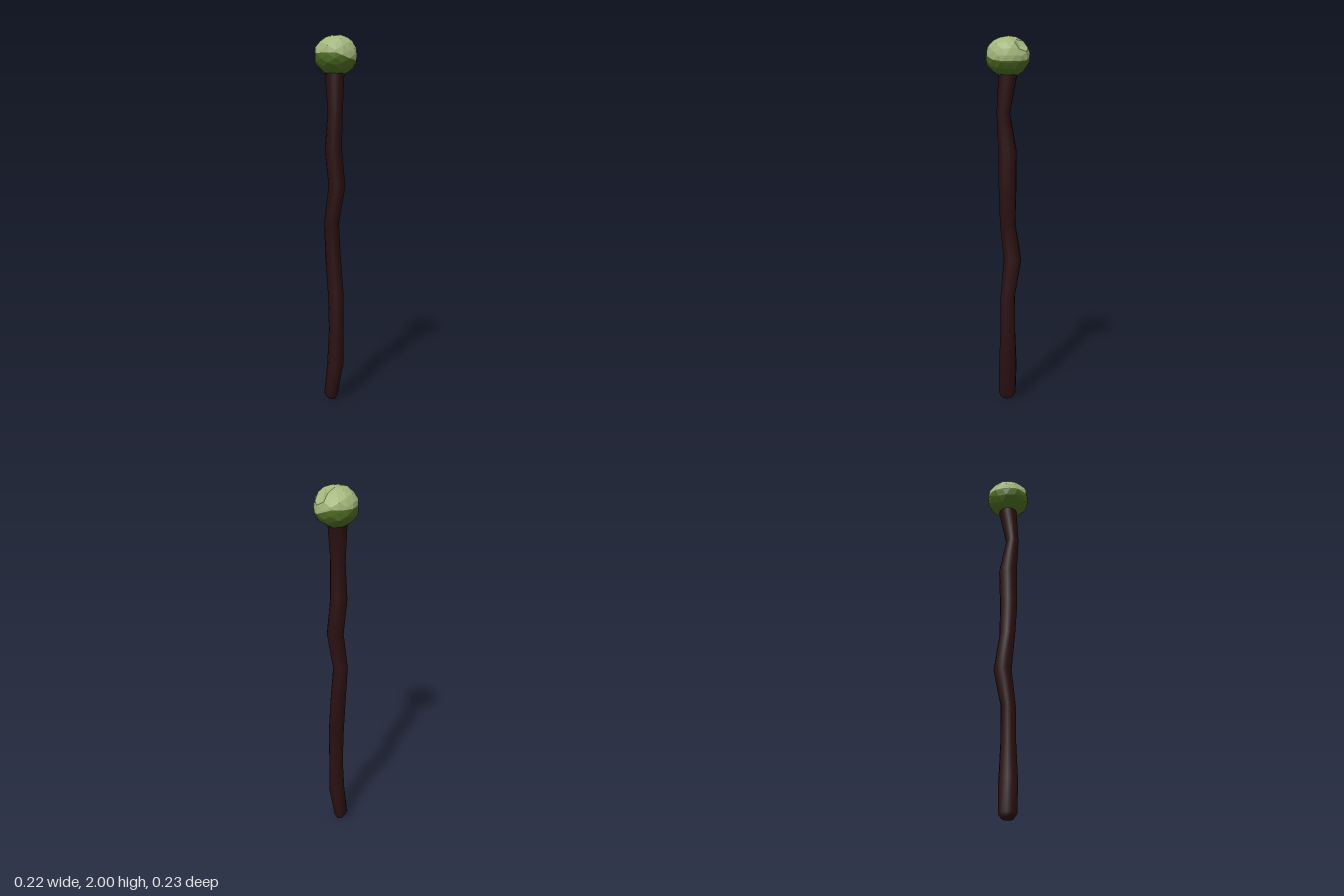
import * as THREE from 'three';

const mat = (name, color, extra = {}) => Object.assign(new THREE.MeshStandardMaterial({ color, ...extra }), { name });

// Crooked shaft: oval rings [y, xMin, xMax, zMin, zMax] joined bottom to top
function shaftGeometry() {
  const rings = [
    [0.008, -0.05, -0.005, -0.032, 0.032], [0.03, -0.066, 0.007, -0.048, 0.048],
    [0.2, -0.05, 0.04, -0.05, 0.05], [0.4, -0.04, 0.04, -0.041, 0.041],
    [0.6, -0.045, 0.041, -0.04, 0.04], [0.8, -0.06, 0.025, -0.077, 0.02],
    [1.0, -0.066, 0.015, -0.045, 0.04], [1.2, -0.041, 0.05, -0.046, 0.05],
    [1.4, -0.061, 0.031, -0.05, 0.05], [1.6, -0.045, 0.036, -0.012, 0.06],
    [1.79, -0.058, 0.043, -0.05, 0.05], [1.84, -0.058, 0.045, -0.05, 0.05],
  ];
  const sides = 12, pos = [], index = [];
  rings.forEach(([y, x0, x1, z0, z1], r) => {
    for (let s = 0; s < sides; s++) {
      const a = (s / sides) * Math.PI * 2, c = Math.cos(a);
      const tilt = r < 2 ? -0.006 * c : 0; // slanted foot
      pos.push((x0 + x1) / 2 + c * (x1 - x0) / 2, y + tilt, (z0 + z1) / 2 + Math.sin(a) * (z1 - z0) / 2);
      if (r) {
        const n = (s + 1) % sides, lo = (r - 1) * sides, hi = r * sides;
        index.push(lo + s, hi + s, lo + n, lo + n, hi + s, hi + n);
      }
    }
  });
  // Closed foot
  pos.push(-0.027, 0.001, 0);
  for (let s = 0; s < sides; s++) index.push(rings.length * sides, s, (s + 1) % sides);
  const g = new THREE.BufferGeometry();
  g.setAttribute('position', new THREE.Float32BufferAttribute(pos, 3));
  g.setIndex(index);
  g.computeVertexNormals();
  return g;
}

// Chipped, faceted knob, cut into an upper and a lower part along a sloping line
function knobGeometries() {
  const ball = new THREE.IcosahedronGeometry(1, 2);
  const p = ball.attributes.position, v = new THREE.Vector3();
  const dent = new THREE.Vector3(0.068, 0.066, -0.062);
  const points = [];
  for (let i = 0; i < p.count; i++) {
    v.fromBufferAttribute(p, i);
    const wobble = 1 + 0.025 * Math.sin(v.x * 9 + 1) * Math.sin(v.y * 8 + 2) + 0.02 * Math.sin(v.z * 11 + v.x * 5);
    const q = v.clone().multiplyScalar(wobble).multiply(new THREE.Vector3(0.116, 0.107, 0.119));
    // Chip between the two flat faces
    const d = q.distanceTo(dent);
    if (d < 0.05) q.multiplyScalar(1 - 0.24 * (1 - d / 0.05));
    // Flats on one side and the back
    q.set(Math.min(0.11, Math.max(-0.112, q.x)), Math.min(0.105, q.y), Math.min(0.116, Math.max(-0.118, q.z)));
    points.push(q.add(new THREE.Vector3(0, 1.895, 0)));
  }
  // Height above the colour line
  const height = (q) => q.y - 1.903 + 0.035 * Math.min(1, Math.max(0, q.x / 0.09));
  const cut = (tri, sign) => {
    const out = [];
    tri.forEach((a, k) => {
      const b = tri[(k + 1) % 3], ha = sign * height(a), hb = sign * height(b);
      if (ha >= 0) out.push(a);
      if (ha * hb < 0) out.push(a.clone().lerp(b, ha / (ha - hb)));
    });
    return out;
  };
  return [1, -1].map((sign) => {
    const pos = [];
    for (let i = 0; i < points.length; i += 3) {
      const poly = cut(points.slice(i, i + 3), sign);
      for (let k = 1; k + 1 < poly.length; k++) {
        for (const q of [poly[0], poly[k], poly[k + 1]]) pos.push(q.x, q.y, q.z);
      }
    }
    const g = new THREE.BufferGeometry();
    g.setAttribute('position', new THREE.Float32BufferAttribute(pos, 3));
    g.computeVertexNormals();
    return g;
  });
}

export function createModel() {
  const group = new THREE.Group();
  group.name = 'staff';
  const add = (name, geometry, material) => {
    const mesh = new THREE.Mesh(geometry, material);
    mesh.name = name;
    group.add(mesh);
  };
  add('shaft', shaftGeometry(), mat('dark wood', 0x2a1011));
  const [upper, lower] = knobGeometries();
  add('knobTop', upper, mat('pale green', 0xa3b77c, { flatShading: true }));
  add('knobBase', lower, mat('moss green', 0x4c6a22, { flatShading: true }));
  return group;
}
